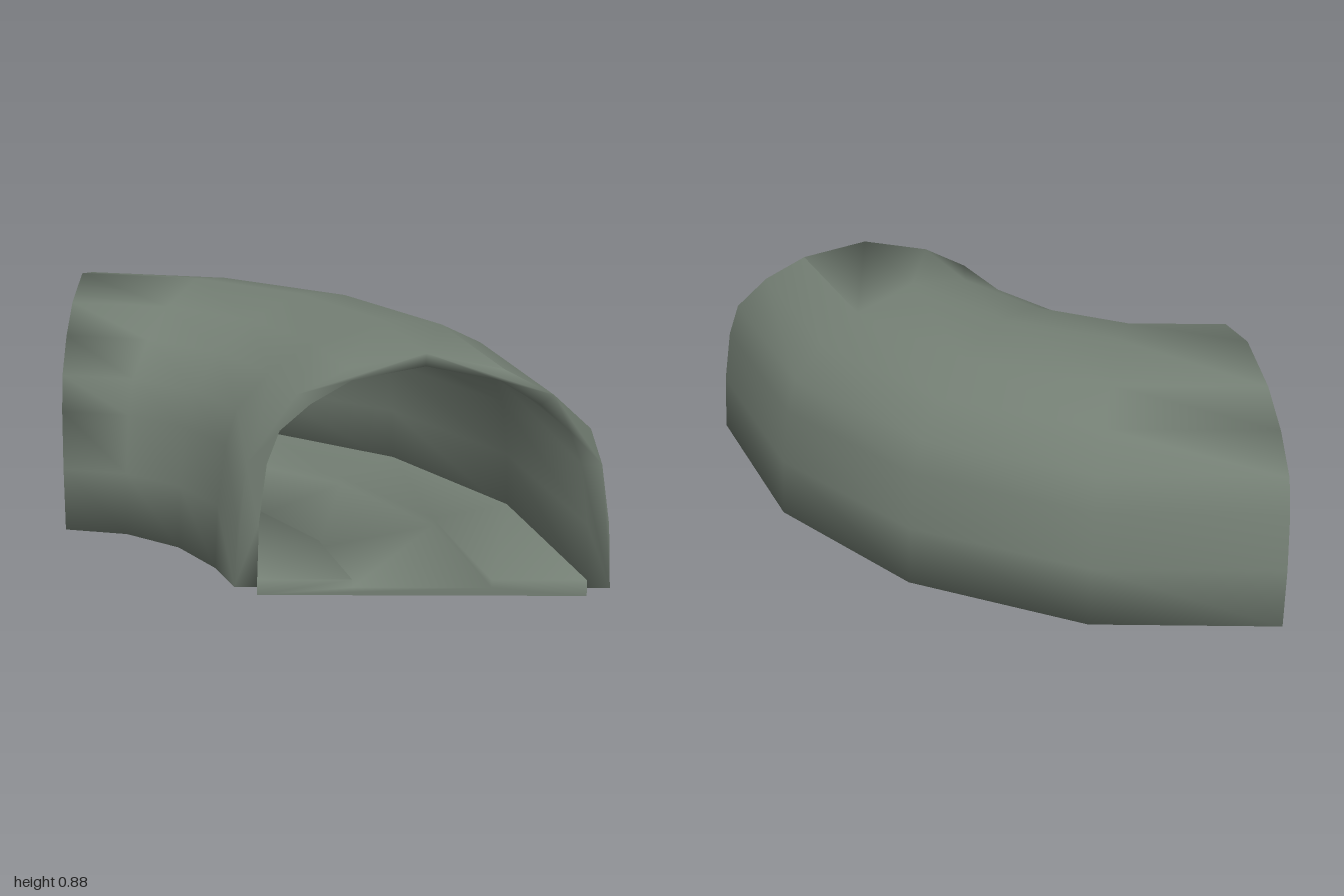
import * as THREE from 'three';
import { toCreasedNormals } from 'three/addons/utils/BufferGeometryUtils.js';

// Stations along the quarter bend: inner edge [x, z] and outer edge [x, z]
const STATIONS = [
  [[-1, 0.395], [-1, -0.928]],
  [[-0.76, 0.44], [-0.29, -0.8]],
  [[-0.55, 0.57], [0.335, -0.425]],
  [[-0.4, 0.76], [0.785, 0.155]],
  [[-0.32, 0.928], [1, 0.928]],
];
const HALF = 0.66; // half of the tunnel's outer width

// Sweep a counter-clockwise profile of [across, up] points along the bend.
// Both ends are capped; only profile edges firstEdge to lastEdge get faces along the bend.
function sweep(profile, firstEdge, lastEdge) {
  const rings = STATIONS.map(([a, b]) => profile.map(([u, y]) => {
    const t = (u + HALF) / (2 * HALF);
    return [a[0] + (b[0] - a[0]) * t, y, a[1] + (b[1] - a[1]) * t];
  }));
  const n = profile.length, last = rings.length - 1, index = [];
  for (let s = 0; s < last; s++) {
    for (let i = firstEdge; i <= lastEdge; i++) {
      const a = s * n + i, b = s * n + (i + 1) % n, c = b + n, d = a + n;
      index.push(a, b, c, a, c, d);
    }
  }
  const outline = profile.map(([u, y]) => new THREE.Vector2(u, y));
  for (const [a, b, c] of THREE.ShapeUtils.triangulateShape(outline, [])) {
    index.push(a, c, b, last * n + a, last * n + b, last * n + c);
  }
  const g = new THREE.BufferGeometry();
  g.setAttribute('position', new THREE.Float32BufferAttribute(rings.flat(2), 3));
  g.setIndex(index);
  return toCreasedNormals(g, 1.7);
}

// Mirror the right half of an arch, from its foot to its crown, to the left side
function arch(half) {
  const left = half.slice(0, -1).reverse().map(([u, y]) => [-u, y]);
  return [...half, ...left];
}

export function createModel() {
  const group = new THREE.Group();
  group.name = 'curvedTunnel';
  const stone = new THREE.MeshStandardMaterial({ color: 0x747f74, side: THREE.DoubleSide });
  stone.name = 'greyGreen';

  // Thick arched shell: outer face, then inner face back to the start
  const outer = arch([[0.66, 0.03], [0.645, 0.27], [0.61, 0.49], [0.565, 0.62],
    [0.435, 0.74], [0.265, 0.83], [0, 0.885]]);
  const inner = arch([[0.58, 0.03], [0.57, 0.27], [0.54, 0.49], [0.495, 0.61],
    [0.39, 0.705], [0.25, 0.79], [0, 0.84]]);
  const profile = [...outer, ...inner.reverse()];
  const shell = new THREE.Mesh(sweep(profile, 0, profile.length - 1), stone);
  shell.name = 'archShell';
  group.add(shell);

  // Thin floor with a sunken middle channel between two banks, open below,
  // and an upright sill at each end that reaches down to the ground
  const floor = new THREE.Mesh(sweep([[-0.58, 0], [0.58, 0], [0.58, 0.06], [0.245, 0.06],
    [0.245, 0.03], [-0.245, 0.03], [-0.245, 0.06], [-0.58, 0.06]], 2, 6), stone);
  floor.name = 'channelFloor';
  group.add(floor);
  return group;
}
